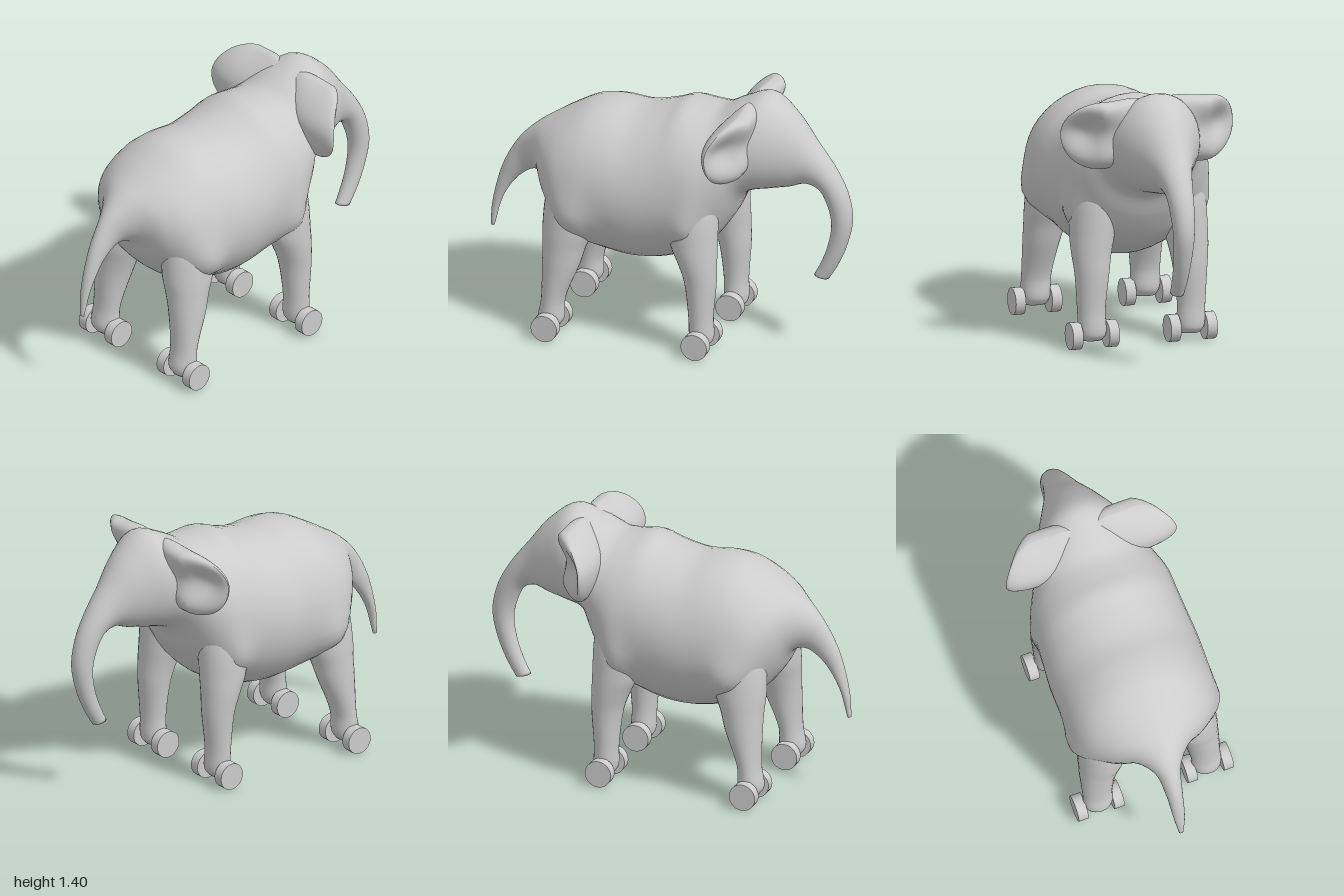
import * as THREE from 'three';

const material = new THREE.MeshStandardMaterial({ color: 0xcccccc, side: THREE.DoubleSide });

function addMesh(parent, name, geometry) {
  const mesh = new THREE.Mesh(geometry, material);
  mesh.name = name;
  parent.add(mesh);
  return mesh;
}

// Smooth skin over rounded cross-sections. Each station holds two opposite
// outline points (z, y) and (z, y), a half width, and an optional centre x.
function loft(stations, sides = 40, steps = 5) {
  const curve = (f) => new THREE.CatmullRomCurve3(stations.map(f));
  const upper = curve(([z, y, , , w]) => new THREE.Vector3(w, y, z));
  const lower = curve(([, , z, y, , x = 0]) => new THREE.Vector3(x, y, z));
  const rows = (stations.length - 1) * steps;
  const pos = [], index = [];
  for (let i = 0; i <= rows; i++) {
    const a = upper.getPoint(i / rows), b = lower.getPoint(i / rows);
    for (let j = 0; j < sides; j++) {
      const t = (j / sides) * Math.PI * 2;
      const s = (1 + Math.sin(t)) / 2;
      pos.push(b.x + a.x * Math.cos(t), b.y + (a.y - b.y) * s, b.z + (a.z - b.z) * s);
    }
  }
  for (let i = 0; i < rows; i++) {
    for (let j = 0; j < sides; j++) {
      const k = (j + 1) % sides, p = i * sides, q = p + sides;
      index.push(p + j, q + j, p + k, p + k, q + j, q + k);
    }
  }
  // end caps
  const first = pos.length / 3;
  for (const t of [0, 1]) {
    const a = upper.getPoint(t), b = lower.getPoint(t);
    pos.push(b.x, (a.y + b.y) / 2, (a.z + b.z) / 2);
  }
  for (let j = 0; j < sides; j++) {
    const k = (j + 1) % sides, q = rows * sides;
    index.push(first, j, k, first + 1, q + k, q + j);
  }
  const geometry = new THREE.BufferGeometry();
  geometry.setAttribute('position', new THREE.Float32BufferAttribute(pos, 3));
  geometry.setIndex(index);
  geometry.computeVertexNormals();
  return geometry;
}

// Fill out the torso sideways where shoulders and haunches flow into the legs
function swellAtLegs(geometry) {
  const p = geometry.attributes.position;
  for (let i = 0; i < p.count; i++) {
    const low = Math.exp(-(((p.getY(i) - 0.62) / 0.16) ** 2));
    const near = Math.exp(-(((p.getZ(i) - 0.47) / 0.13) ** 2)) + Math.exp(-(((p.getZ(i) + 0.21) / 0.11) ** 2));
    p.setX(i, p.getX(i) * (1 + 0.24 * low * near));
  }
  geometry.computeVertexNormals();
  return geometry;
}

// Rounded flap that thickens inward to merge with the head, dished in front
function earGeometry() {
  const geometry = new THREE.SphereGeometry(1, 48, 36);
  const p = geometry.attributes.position;
  for (let i = 0; i < p.count; i++) {
    const a = p.getX(i), b = p.getY(i), c = p.getZ(i);
    const inner = Math.min(a, 0) ** 2;
    const depth = c > 0 ? 0.045 : 0.185 - 0.135 * Math.max(a, 0);
    const dish = c < 0 ? 0.075 * Math.exp(-((a - 0.3) ** 2 + (b - 0.05) ** 2) * 4) : 0;
    const lean = (b > 0 ? 0.12 : 0.04) * b * b;
    p.setXYZ(
      i,
      0.287 + (a > 0 ? 0.188 : 0.287) * a,
      1.18 + 0.185 * b * (1 + 0.6 * inner) + 0.04 * inner,
      -0.345 + depth * c + dish - lean - 0.1 * inner,
    );
  }
  geometry.computeVertexNormals();
  return geometry;
}

export function createModel() {
  const model = new THREE.Group();
  model.name = 'wheeledElephant';

  // tail, torso, head and trunk in one continuous skin
  addMesh(model, 'body', swellAtLegs(loft([
    [1.0, 0.43, 0.98, 0.425, 0.012],
    [0.99, 0.56, 0.93, 0.6, 0.03],
    [0.93, 0.79, 0.84, 0.73, 0.045],
    [0.84, 0.95, 0.75, 0.785, 0.07],
    [0.74, 1.05, 0.69, 0.77, 0.145],
    [0.65, 1.11, 0.63, 0.66, 0.265],
    [0.55, 1.17, 0.54, 0.55, 0.355],
    [0.42, 1.235, 0.42, 0.47, 0.393],
    [0.3, 1.25, 0.3, 0.43, 0.405],
    [0.15, 1.24, 0.15, 0.41, 0.41],
    [0.0, 1.275, 0.0, 0.425, 0.4],
    [-0.1, 1.31, -0.12, 0.47, 0.39],
    [-0.2, 1.3, -0.25, 0.55, 0.38],
    [-0.29, 1.3, -0.36, 0.7, 0.335],
    [-0.4, 1.355, -0.44, 0.845, 0.275],
    [-0.54, 1.405, -0.57, 0.88, 0.22],
    [-0.68, 1.31, -0.67, 0.9, 0.155],
    [-0.8, 1.16, -0.75, 0.925, 0.102],
    [-0.9, 1.03, -0.82, 0.9, 0.075],
    [-0.97, 0.9, -0.87, 0.8, 0.063],
    [-1.0, 0.75, -0.885, 0.7, 0.055],
    [-0.97, 0.6, -0.86, 0.57, 0.046],
    [-0.92, 0.48, -0.82, 0.47, 0.04],
    [-0.87, 0.395, -0.79, 0.412, 0.035],
  ])));

  // legs: stations run from the body down to the foot
  const frontLeg = loft([
    [-0.31, 0.95, -0.1, 0.95, 0.09, 0.2],
    [-0.335, 0.8, -0.06, 0.8, 0.125, 0.235],
    [-0.34, 0.6, -0.09, 0.6, 0.118, 0.257],
    [-0.34, 0.5, -0.135, 0.5, 0.105, 0.267],
    [-0.34, 0.4, -0.17, 0.4, 0.092, 0.27],
    [-0.325, 0.2, -0.195, 0.2, 0.075, 0.275],
    [-0.325, 0.08, -0.2, 0.08, 0.073, 0.27],
    [-0.3, 0.045, -0.22, 0.045, 0.055, 0.27],
  ], 28);
  const backLeg = loft([
    [0.34, 0.95, 0.54, 0.95, 0.09, 0.2],
    [0.31, 0.8, 0.6, 0.8, 0.13, 0.23],
    [0.34, 0.6, 0.618, 0.6, 0.128, 0.253],
    [0.38, 0.5, 0.612, 0.5, 0.112, 0.27],
    [0.41, 0.4, 0.61, 0.4, 0.098, 0.285],
    [0.485, 0.2, 0.61, 0.2, 0.08, 0.3],
    [0.49, 0.09, 0.625, 0.09, 0.078, 0.302],
    [0.515, 0.05, 0.6, 0.05, 0.06, 0.302],
  ], 28);

  const ear = earGeometry();
  const wheel = new THREE.CylinderGeometry(0.072, 0.072, 0.055, 28);
  wheel.rotateZ(Math.PI / 2);

  // ears, legs and wheels mirrored on both sides
  for (const [side, sign] of [['left', 1], ['right', -1]]) {
    const half = new THREE.Group();
    half.name = side + 'Side';
    half.scale.x = sign;
    model.add(half);
    addMesh(half, side + 'Ear', ear);
    addMesh(half, side + 'FrontLeg', frontLeg);
    addMesh(half, side + 'BackLeg', backLeg);
    for (const [end, x, z] of [['Front', 0.27, -0.262], ['Back', 0.304, 0.555]]) {
      addMesh(half, side + end + 'OuterWheel', wheel).position.set(x + 0.1, 0.072, z);
      addMesh(half, side + end + 'InnerWheel', wheel).position.set(x - 0.1, 0.072, z);
    }
  }
  return model;
}
